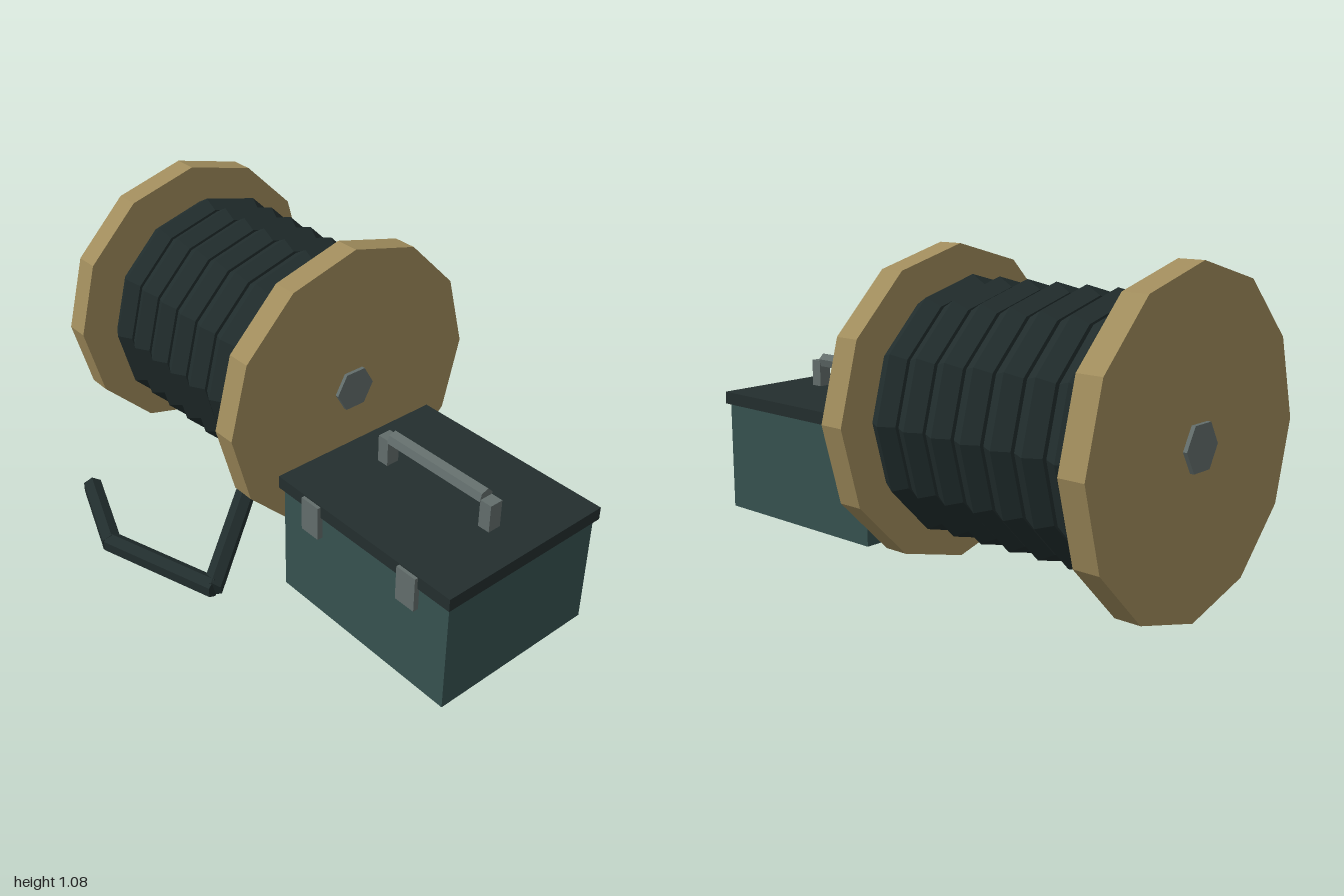
import * as THREE from 'three';

const flat = (name, color) => {
  const m = new THREE.MeshStandardMaterial({ color, flatShading: true });
  m.name = name;
  return m;
};

export function createModel() {
  const wood = flat('wood', 0xa08c5c);
  const cable = flat('cable rubber', 0x212d2d);
  const paint = flat('box paint', 0x36514f);
  const lidPaint = flat('lid paint', 0x232e2e);
  const metal = flat('metal', 0x626d6b);

  const model = new THREE.Group();
  const add = (parent, name, geometry, material, x = 0, y = 0, z = 0) => {
    const mesh = new THREE.Mesh(geometry, material);
    mesh.name = name;
    mesh.position.set(x, y, z);
    parent.add(mesh);
    return mesh;
  };
  // cylinder lying along x
  const xCylinder = (r, length, sides) =>
    new THREE.CylinderGeometry(r, r, length, sides).rotateZ(Math.PI / 2);

  // Cable drum
  const drum = new THREE.Group();
  drum.name = 'cableDrum';
  drum.position.set(-0.473, 0.54, -0.16);
  model.add(drum);
  for (const s of [-1, 1])
    add(drum, s < 0 ? 'rightFlange' : 'leftFlange', xCylinder(0.538, 0.09, 12), wood, s * 0.469);
  add(drum, 'core', xCylinder(0.35, 0.86, 12), wood);
  add(drum, 'axle', xCylinder(0.082, 1.055, 6), metal);

  // Wound cable, one hexagonal ring per turn
  for (let i = 0; i < 7; i++) {
    const ring = new THREE.TorusGeometry(0.38, 0.06, 6, 12).rotateY(Math.PI / 2);
    add(drum, 'cableTurn', ring, cable, 0.0167 + (i - 3) * 0.1172);
  }

  // Loose cable end, straight pieces lying on the ground
  const path = [[-0.14, 0.175, 0.18], [0.11, 0.045, 0.53], [-0.32, 0.045, 0.665], [-0.65, 0.045, 0.54]]
    .map(p => new THREE.Vector3(...p));
  for (let i = 0; i < path.length - 1; i++) {
    const along = path[i + 1].clone().sub(path[i]);
    const length = along.length();
    along.normalize();
    const side = along.clone().cross(new THREE.Vector3(0, 1, 0)).normalize();
    const up = side.clone().cross(along);
    const mid = path[i].clone().lerp(path[i + 1], 0.5);
    const piece = add(model, 'looseCable', new THREE.CylinderGeometry(0.037, 0.037, length + 0.015, 6),
      cable, mid.x, mid.y, mid.z);
    piece.quaternion.setFromRotationMatrix(new THREE.Matrix4().makeBasis(side, along, up));
  }

  // Toolbox
  const box = new THREE.Group();
  box.name = 'toolbox';
  box.position.set(0.605, 0, -0.022);
  model.add(box);
  add(box, 'body', new THREE.BoxGeometry(0.76, 0.41, 0.648), paint, 0, 0.222, 0);
  add(box, 'lid', new THREE.BoxGeometry(0.785, 0.046, 0.676), lidPaint, 0, 0.447, 0);
  for (const s of [-1, 1]) {
    add(box, 'latch', new THREE.BoxGeometry(0.08, 0.125, 0.02), metal, s * 0.221, 0.403, 0.34);
    add(box, 'handlePost', new THREE.BoxGeometry(0.045, 0.1, 0.05), metal, s * 0.229, 0.52, 0.002);
  }
  const bar = add(box, 'handleBar', xCylinder(0.029, 0.415, 6), metal, 0, 0.57, 0.002);
  bar.rotation.x = Math.PI / 12;

  return model;
}
